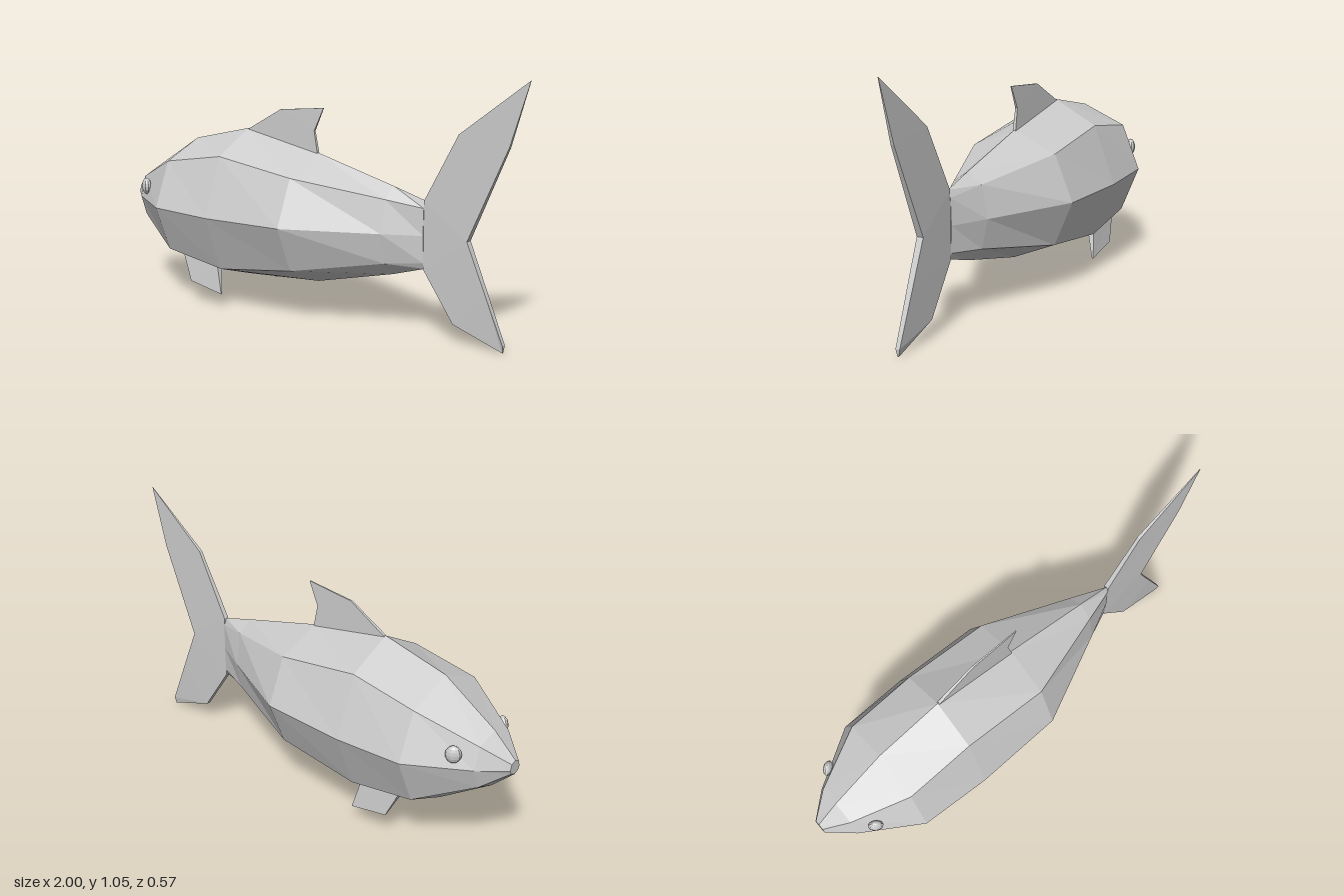
import * as THREE from 'three';

const material = new THREE.MeshStandardMaterial({ color: 0xcccccc, flatShading: true });

// Skin a row of cross-sections (each counter-clockwise about the travel direction) and cap both ends
function loft(sections) {
  const n = sections[0].length;
  const index = [];
  for (let i = 0; i < sections.length - 1; i++) {
    for (let j = 0; j < n; j++) {
      const k = (j + 1) % n;
      const a = i * n + j, d = i * n + k, b = a + n, c = d + n;
      index.push(a, d, c, a, c, b);
    }
  }
  const last = (sections.length - 1) * n;
  for (let j = 1; j < n - 1; j++) {
    index.push(0, j + 1, j, last, last + j, last + j + 1);
  }
  const geometry = new THREE.BufferGeometry();
  geometry.setAttribute('position', new THREE.Float32BufferAttribute(sections.flat(2), 3));
  geometry.setIndex(index);
  const flat = geometry.toNonIndexed();
  flat.computeVertexNormals();
  return flat;
}

// Fin rows run upward: leading x, y, half thickness, trailing x, y, half thickness, centre z
function fin(rows) {
  return loft(rows.map(([lx, ly, lt, tx, ty, tt, z = 0]) => [
    [lx, ly, z + lt], [tx, ty, z + tt], [tx, ty, z - tt], [lx, ly, z - lt],
  ]));
}

function add(group, name, geometry) {
  const mesh = new THREE.Mesh(geometry, material);
  mesh.name = name;
  group.add(mesh);
  return mesh;
}

export function createModel() {
  const fish = new THREE.Group();
  fish.name = 'fish';

  // Eight-sided body: x, top y, upper y, upper z, middle y, middle z, lower y, lower z, bottom y
  const body = [
    [-1.00, 0.45, 0.44, 0.022, 0.415, 0.03, 0.40, 0.022, 0.39],
    [-0.90, 0.54, 0.505, 0.09, 0.415, 0.12, 0.33, 0.09, 0.30],
    [-0.66, 0.69, 0.61, 0.19, 0.415, 0.27, 0.22, 0.19, 0.145],
    [-0.36, 0.76, 0.66, 0.19, 0.41, 0.283, 0.175, 0.19, 0.118],
    [0.02, 0.69, 0.61, 0.19, 0.415, 0.27, 0.225, 0.19, 0.145],
    [0.40, 0.595, 0.55, 0.063, 0.415, 0.09, 0.29, 0.063, 0.235],
    [0.55, 0.555, 0.525, 0.012, 0.415, 0.015, 0.305, 0.012, 0.28],
  ];
  add(fish, 'body', loft(body.map(([x, top, uy, uz, my, mz, ly, lz, bottom]) => [
    [x, top, 0], [x, uy, uz], [x, my, mz], [x, ly, lz],
    [x, bottom, 0], [x, ly, -lz], [x, my, -mz], [x, uy, -uz],
  ])));

  // Forked tail, thin towards both tips
  add(fish, 'tailFin', fin([
    [0.912, 0.005, 0.003, 0.915, 0.035, 0.009],
    [0.69, 0.08, 0.009, 0.83, 0.233, 0.012],
    [0.55, 0.28, 0.011, 0.75, 0.42, 0.014],
    [0.55, 0.555, 0.011, 0.75, 0.42, 0.014],
    [0.70, 0.83, 0.007, 0.92, 0.80, 0.007],
    [1.00, 1.055, 0.001, 1.00, 1.055, 0.001],
  ]));

  // Back fin swept to the rear
  add(fish, 'dorsalFin', fin([
    [-0.36, 0.755, 0.007, 0.02, 0.68, 0.007],
    [-0.18, 0.855, 0.004, 0.00, 0.78, 0.005],
    [0.045, 0.878, 0.002, 0.045, 0.875, 0.002],
  ]));

  for (const side of [1, -1]) {
    const prefix = side > 0 ? 'left' : 'right';

    // Pectoral fin, tapering downward and outward from the belly
    add(fish, prefix + 'PectoralFin', fin([
      [-0.535, 0.095, 0.003, -0.36, 0.063, 0.003, side * 0.187],
      [-0.59, 0.21, 0.015, -0.395, 0.19, 0.015, side * 0.16],
    ]));

    // Flattened eye lying along the cheek
    const eye = add(fish, prefix + 'Eye', new THREE.SphereGeometry(1, 10, 8));
    eye.scale.set(0.032, 0.036, 0.02);
    eye.position.set(-0.828, 0.475, side * 0.157);
    eye.rotation.y = -side * 0.55;
  }

  return fish;
}
